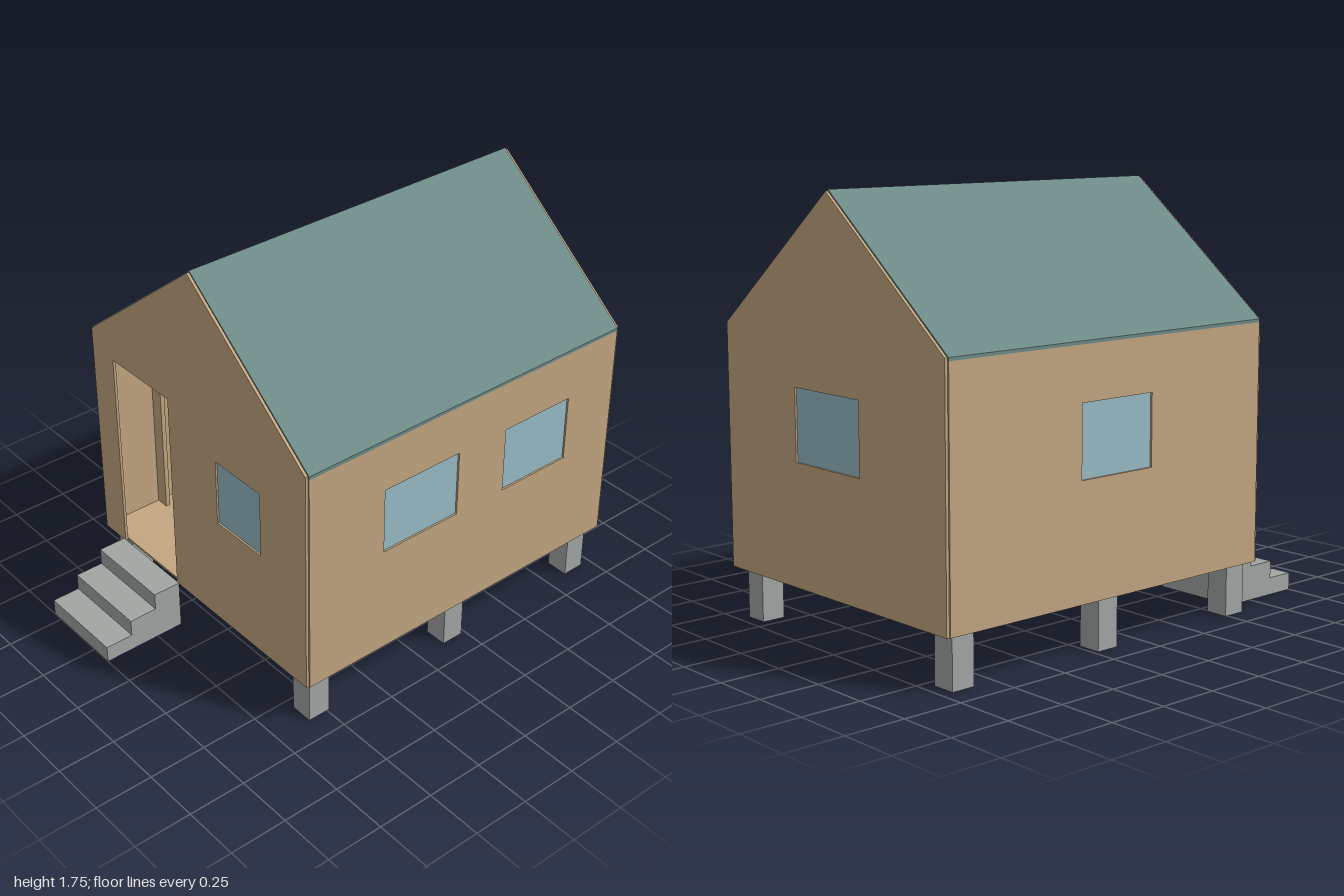
import * as THREE from 'three';

const mat = (name, color) => Object.assign(new THREE.MeshStandardMaterial({ color }), { name });

export function createModel() {
  const wood = mat('tan wood', 0xc2a680);
  const green = mat('green roof', 0x6d8a87);
  const stone = mat('grey stone', 0xa1a6a3);
  const glass = mat('blue glass', 0x98bbc6);

  const house = new THREE.Group();
  house.name = 'cabin';

  const T = 0.012;                          // panel thickness
  const X = 0.683, FRONT = 0.63, BACK = -1; // outer faces
  const FLOOR = 0.215, EAVE = 1.21, RIDGE = 1.755;

  const add = (name, geometry, material) => {
    const mesh = new THREE.Mesh(geometry, material);
    mesh.name = name;
    house.add(mesh);
    return mesh;
  };
  const box = (name, material, x0, x1, y0, y1, z0, z1) =>
    add(name, new THREE.BoxGeometry(x1 - x0, y1 - y0, z1 - z0)
      .translate((x0 + x1) / 2, (y0 + y1) / 2, (z0 + z1) / 2), material);

  // Flat panel from an outline, with rectangular holes [u0, u1, y0, y1]
  const panel = (points, depth, holes = []) => {
    const shape = new THREE.Shape(points.map(p => new THREE.Vector2(...p)));
    for (const [a, b, c, d] of holes) {
      shape.holes.push(new THREE.Path([[a, c], [a, d], [b, d], [b, c]].map(p => new THREE.Vector2(...p))));
    }
    return new THREE.ExtrudeGeometry(shape, { depth, bevelEnabled: false });
  };
  // Turns a panel so its outline runs along z and its depth towards -x
  const sideways = (geometry, x) => geometry.rotateY(-Math.PI / 2).translate(x, 0, 0);

  // Gable walls; the doorway is a notch in the front outline
  const g = X - 0.007, top = [[g, EAVE - 0.002], [0, RIDGE - 0.007], [-g, EAVE - 0.002]];
  const door = [[-0.535, FLOOR], [-0.535, 1.12], [-0.165, 1.12], [-0.165, FLOOR]];
  const frontWindow = [0.135, 0.405, 0.695, 0.985];
  const backWindow = [-0.18, 0.22, 0.71, 1.0];
  add('frontWall', panel([[g, FLOOR], ...top, [-g, FLOOR], ...door], T, [frontWindow])
    .translate(0, 0, FRONT - T), wood);
  add('backWall', panel([[g, FLOOR], ...top, [-g, FLOOR]], T, [backWindow])
    .translate(0, 0, BACK), wood);

  // Side walls
  const z0 = BACK + T, z1 = FRONT - T;
  const sideOutline = [[z0, FLOOR], [z1, FLOOR], [z1, 1.197], [z0, 1.197]];
  const leftWindows = [[-0.13, 0.25, 0.69, 0.98], [-0.73, -0.38, 0.69, 0.98]];
  const rightWindows = [[-0.355, 0.01, 0.69, 0.98]];
  add('leftWall', sideways(panel(sideOutline, T, leftWindows), X), wood);
  add('rightWall', sideways(panel(sideOutline, T, rightWindows), -X + T), wood);

  // Window panes, set back at the inner side of each wall
  const P = 0.004;
  const [fa, fb, fc, fd] = frontWindow, [ba, bb, bc, bd] = backWindow;
  box('frontPane', glass, fa, fb, fc, fd, z1, z1 + P);
  box('backPane', glass, ba, bb, bc, bd, z0 - P, z0);
  for (const [a, b, c, d] of leftWindows) box('leftPane', glass, X - T, X - T + P, c, d, a, b);
  for (const [a, b, c, d] of rightWindows) box('rightPane', glass, -X + T - P, -X + T, c, d, a, b);

  // Floor, wall posts and partition inside
  box('floor', wood, -X + T, X - T, FLOOR, FLOOR + 0.01, z0, z1);
  for (const z of [0.36, 0.1]) box('wallPost', wood, -X + T, -0.613, FLOOR + 0.01, 1.2, z - 0.02, z);
  box('partition', wood, -X + T, -0.41, FLOOR + 0.01, 1.2, -0.39, -0.37);

  // Roof slopes
  for (const [name, s] of [['leftRoof', 1], ['rightRoof', -1]]) {
    const outline = [[s * X, EAVE], [0, RIDGE], [0, RIDGE - 0.015], [s * X, EAVE - 0.015]];
    add(name, panel(outline, z1 - z0).translate(0, 0, z0), green);
  }

  // Stilts
  for (const x of [-0.595, 0.595]) {
    for (const z of [0.54, -0.18, -0.9]) {
      box('stilt', stone, x - 0.05, x + 0.05, 0, FLOOR, z - 0.05, z + 0.05);
    }
  }

  // Steps as one solid stair
  const stair = [[FRONT, 0], [1, 0], [1, 0.073], [0.877, 0.073], [0.877, 0.146], [0.753, 0.146], [0.753, 0.22], [FRONT, 0.22]];
  add('steps', sideways(panel(stair, 0.395), -0.152), stone);

  return house;
}
